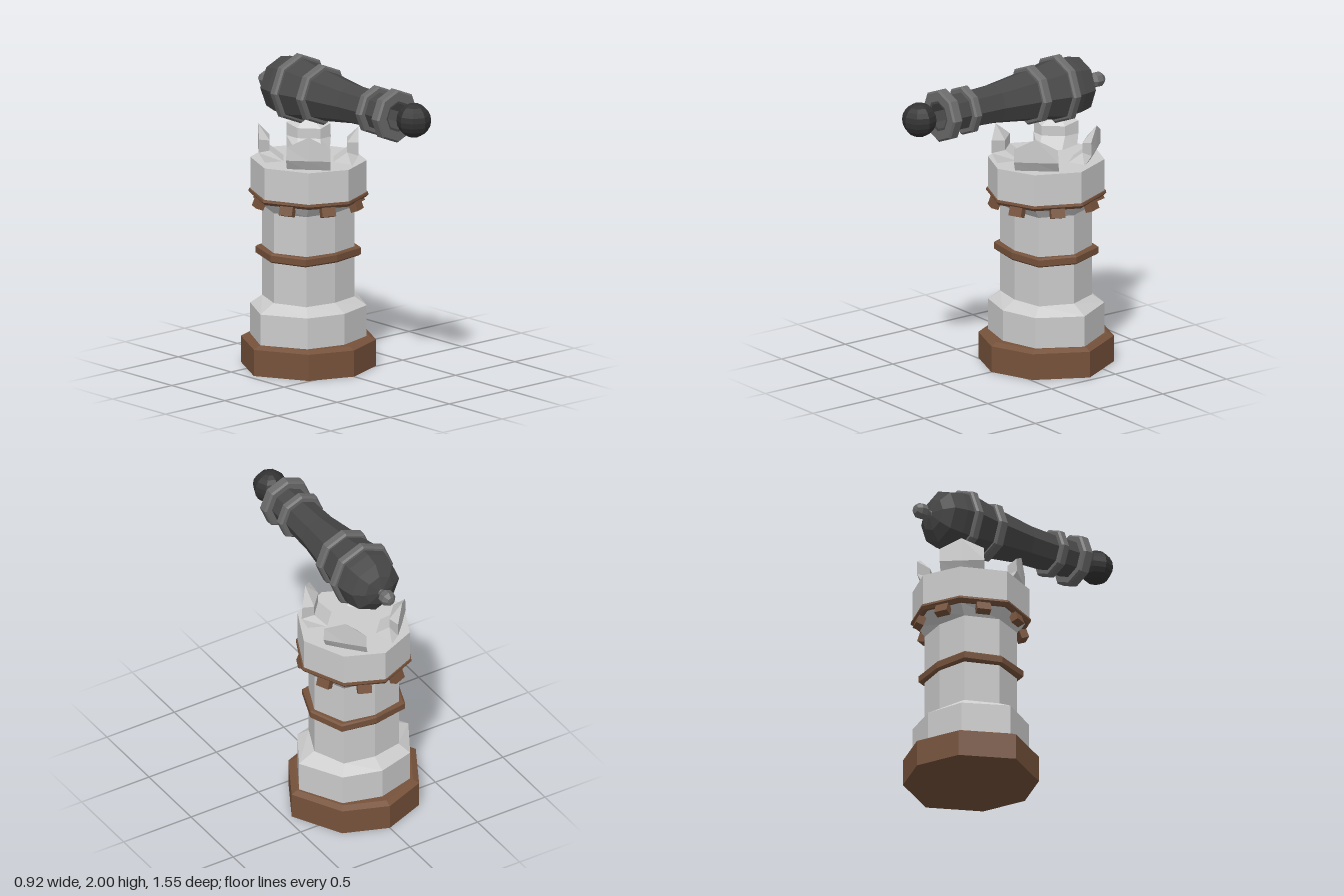
import * as THREE from 'three';

const mat = (color) => new THREE.MeshStandardMaterial({ color, flatShading: true });
const stone = mat(0xcccccc), wood = mat(0x76523b), iron = mat(0x484848);
const trim = mat(0x6a6a6a), shot = mat(0x333333);
const TOWER_Z = -0.33, BARREL_Y = 1.775;

// Skin between equal rings of [x, y, z] corners, listed bottom to top, with both ends capped
function loft(rings) {
  const n = rings[0].length, pos = [];
  const tri = (...corners) => corners.forEach((c) => pos.push(...c));
  for (let r = 0; r < rings.length - 1; r++) {
    const a = rings[r], b = rings[r + 1];
    for (let i = 0; i < n; i++) {
      const j = (i + 1) % n;
      tri(a[i], b[i], b[j]);
      tri(a[i], b[j], a[j]);
    }
  }
  const low = rings[0], top = rings[rings.length - 1];
  for (let i = 1; i < n - 1; i++) {
    tri(low[0], low[i], low[i + 1]);
    tri(top[0], top[i + 1], top[i]);
  }
  const g = new THREE.BufferGeometry();
  g.setAttribute('position', new THREE.Float32BufferAttribute(pos, 3));
  g.computeVertexNormals();
  return g;
}

// Eight-sided ring: side corner ax, diagonal corner (dx, dz), front corner az
const octagon = ([y, ax, dx, dz, az]) => [
  [ax, y, 0], [dx, y, dz], [0, y, az], [-dx, y, dz],
  [-ax, y, 0], [-dx, y, -dz], [0, y, -az], [dx, y, -dz],
];

function add(parent, name, geometry, material) {
  const mesh = new THREE.Mesh(geometry, material);
  mesh.name = name;
  parent.add(mesh);
  return mesh;
}

// Eight-sided turned part lying along z; profile points are [radius, z] from back to front
function turned(parent, name, profile, material) {
  const g = new THREE.LatheGeometry(profile.map(([r, z]) => new THREE.Vector2(r, z)), 8);
  g.rotateX(Math.PI / 2);
  return add(parent, name, g, material);
}

function buildTower() {
  const tower = new THREE.Group();
  tower.name = 'tower';
  tower.position.z = TOWER_Z;
  const tier = (name, material, levels) => add(tower, name, loft(levels.map(octagon)), material);

  tier('base', wood, [
    [0, 0.46, 0.285, 0.32, 0.43],
    [0.17, 0.46, 0.285, 0.32, 0.43],
    [0.19, 0.42, 0.26, 0.29, 0.39],
  ]);
  tier('plinth', stone, [
    [0.18, 0.405, 0.25, 0.27, 0.34],
    [0.39, 0.405, 0.25, 0.27, 0.34],
    [0.445, 0.295, 0.2, 0.21, 0.25],
  ]);
  tier('shaft', stone, [
    [0.43, 0.292, 0.203, 0.21, 0.25],
    [1.04, 0.292, 0.203, 0.21, 0.25],
  ]);
  tier('middleBand', wood, [
    [0.71, 0.31, 0.225, 0.225, 0.265],
    [0.72, 0.322, 0.235, 0.235, 0.272],
    [0.76, 0.322, 0.235, 0.235, 0.272],
    [0.77, 0.31, 0.225, 0.225, 0.265],
  ]);
  tier('collar', stone, [
    [1.03, 0.292, 0.203, 0.21, 0.25],
    [1.1, 0.35, 0.23, 0.26, 0.355],
  ]);
  tier('upperBand', wood, [
    [1.095, 0.365, 0.24, 0.27, 0.375],
    [1.115, 0.385, 0.252, 0.285, 0.39],
    [1.13, 0.38, 0.25, 0.282, 0.388],
  ]);
  tier('crown', stone, [
    [1.125, 0.37, 0.245, 0.275, 0.38],
    [1.335, 0.37, 0.245, 0.275, 0.38],
  ]);

  // One bracket under the middle of each crown face, leaning in at the foot
  const rim = octagon([1.07, 0.355, 0.237, 0.265, 0.365]);
  rim.forEach(([x, y, z], i) => {
    const [x2, , z2] = rim[(i + 1) % 8];
    const bracket = add(tower, 'bracket', new THREE.BoxGeometry(0.09, 0.065, 0.05), wood);
    bracket.position.set((x + x2) / 2, y, (z + z2) / 2);
    bracket.rotation.order = 'YXZ';
    bracket.rotation.y = Math.atan2(z2 - z, x - x2) + 0;
    // Turn the bracket's front outward along the face normal
    bracket.rotation.y = Math.atan2(-(z - z2), x - x2);
    bracket.rotation.y = Math.atan2(z2 - z, x - x2);
    bracket.rotation.x = 0.35 * -1;
  });

  // Four peaked merlons; each ring starts at the outer middle
  const merlonRings = [
    [[0.18, 1.325, 0.21], [0.09, 1.325, 0.31], [0.05, 1.325, 0.16], [0.15, 1.325, 0.05], [0.27, 1.325, 0.1]],
    [[0.21, 1.4, 0.24], [0.117, 1.4, 0.34], [0.117, 1.4, 0.235], [0.215, 1.4, 0.125], [0.305, 1.4, 0.13]],
    [[0.21, 1.555, 0.24], [0.117, 1.485, 0.34], [0.117, 1.465, 0.235], [0.215, 1.465, 0.125], [0.3, 1.485, 0.13]],
  ];
  for (const sx of [1, -1]) for (const sz of [1, -1]) {
    const rings = merlonRings.map((ring) => {
      const [first, ...rest] = ring.map(([x, y, z]) => [x * sx, y, z * sz]);
      return [first, ...(sx * sz < 0 ? rest.reverse() : rest)];
    });
    add(tower, 'merlon', loft(rings), stone);
  }
  return tower;
}

function buildCannon() {
  const cannon = new THREE.Group();
  cannon.name = 'cannon';
  cannon.position.y = BARREL_Y;

  // Barrel with rounded breech and hollow bore
  turned(cannon, 'barrel', [
    [0, -0.66], [0.03, -0.655], [0.105, -0.635], [0.175, -0.59], [0.195, -0.5], [0.2, -0.39],
    [0.17, -0.24], [0.165, -0.175], [0.13, 0.08], [0.122, 0.28], [0.122, 0.515],
    [0.085, 0.515], [0.085, 0.3], [0, 0.3],
  ], iron);

  // Raised rings: [name, back z, front z, radius, inner radius]
  for (const [name, back, front, r, inner] of [
    ['breechRing', -0.45, -0.39, 0.225, 0.15],
    ['rearRing', -0.243, -0.175, 0.195, 0.13],
    ['frontRing', 0.28, 0.34, 0.16, 0.1],
    ['muzzleRing', 0.445, 0.52, 0.172, 0.1],
  ]) {
    turned(cannon, name, [
      [inner, back], [r - 0.012, back], [r, back + 0.012],
      [r, front - 0.012], [r - 0.012, front], [inner, front],
    ], trim);
  }

  // Knob on a short neck behind the breech
  turned(cannon, 'knob', [
    [0, -0.778], [0.028, -0.774], [0.05, -0.745], [0.05, -0.705],
    [0.025, -0.675], [0.02, -0.66], [0.035, -0.64],
  ], trim);
  return cannon;
}

export function createModel() {
  const model = new THREE.Group();
  model.name = 'cannonTower';
  model.add(buildTower(), buildCannon());
  const ball = add(model, 'cannonball', new THREE.SphereGeometry(0.11, 8, 10), shot);
  ball.position.set(0, BARREL_Y + 0.005, 0.665);
  return model;
}
